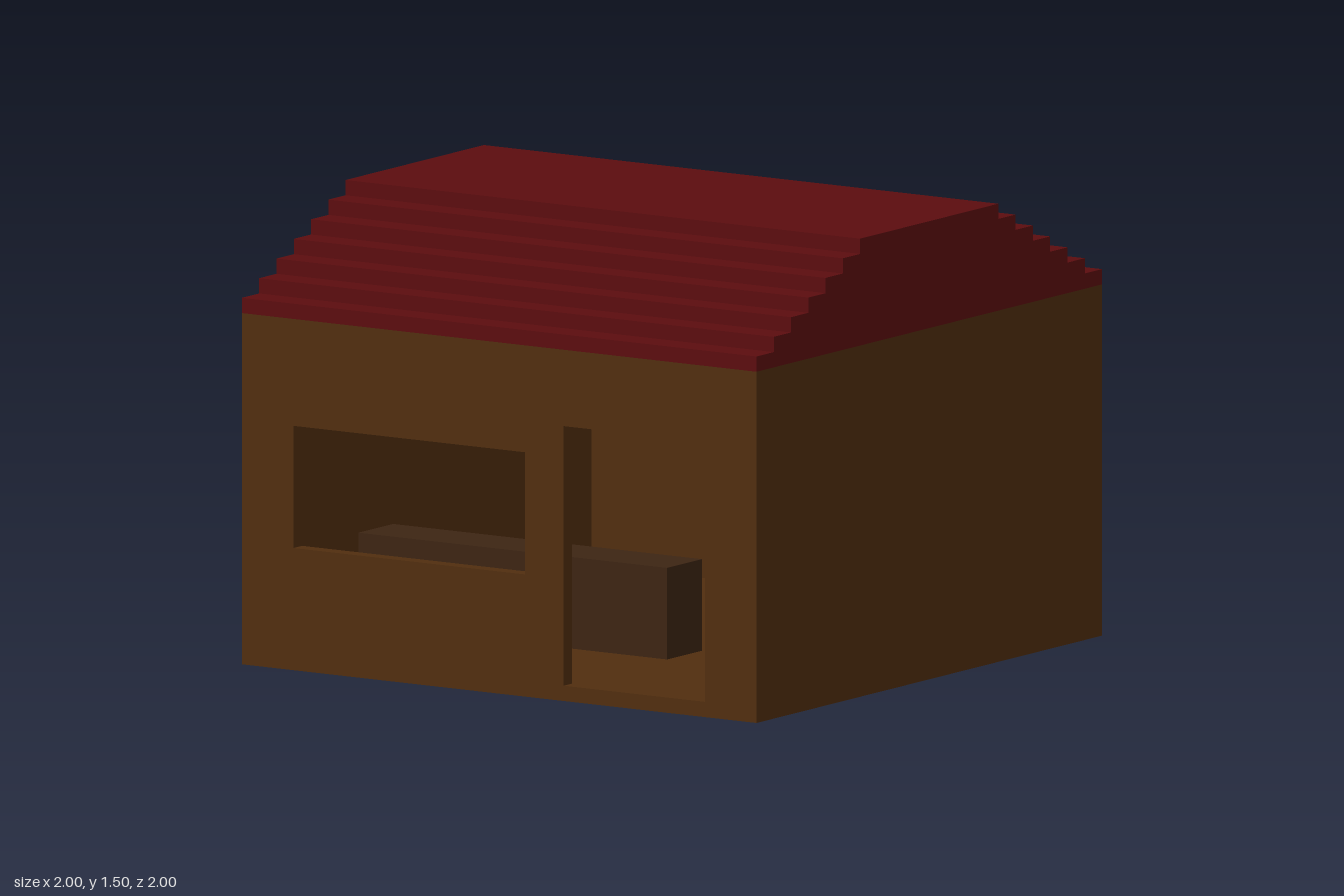
import * as THREE from 'three';

export function createModel() {
  const model = new THREE.Group();
  model.name = 'shopHut';

  const material = (name, color) => {
    const m = new THREE.MeshStandardMaterial({ color });
    m.name = name;
    return m;
  };
  const wood = material('brown wood', 0x512e0f);
  const darkWood = material('dark wood', 0x3d2513);
  const red = material('dark red roof', 0x5c0d0f);

  // Box given by its minimum and maximum corners
  const box = (name, mat, [x0, y0, z0], [x1, y1, z1]) => {
    const mesh = new THREE.Mesh(new THREE.BoxGeometry(x1 - x0, y1 - y0, z1 - z0), mat);
    mesh.position.set((x0 + x1) / 2, (y0 + y1) / 2, (z0 + z1) / 2);
    mesh.name = name;
    model.add(mesh);
  };

  const T = 0.05; // wall, floor and roof-step thickness
  const wallTop = 1.15;

  // Floor, back wall and side walls
  box('floor', wood, [-1, 0, -1], [1, T, 1 - T]);
  box('backWall', wood, [-1, T, -1], [1, wallTop, -1 + T]);
  box('rightWall', wood, [-1, T, -1 + T], [-1 + T, wallTop, 1 - T]);
  box('leftWall', wood, [1 - T, T, -1 + T], [1, wallTop, 1 - T]);

  // Front wall with window and door openings
  const rect = (Type, x0, y0, x1, y1) => new Type([
    new THREE.Vector2(x0, y0), new THREE.Vector2(x1, y0),
    new THREE.Vector2(x1, y1), new THREE.Vector2(x0, y1),
  ]);
  const front = rect(THREE.Shape, -1, 0, 1, wallTop);
  front.holes.push(rect(THREE.Path, -0.8, 0.4, 0.1, 0.8)); // window
  front.holes.push(rect(THREE.Path, 0.25, T, 0.8, 0.9)); // doorway
  const frontWall = new THREE.Mesh(
    new THREE.ExtrudeGeometry(front, { depth: T, bevelEnabled: false }), wood);
  frontWall.position.z = 1 - T;
  frontWall.name = 'frontWall';
  model.add(frontWall);

  // Counter inside, against the right wall
  box('counter', darkWood, [-1 + T, T, 0.2], [0.25, 0.35, 0.4]);

  // Stepped roof, each layer narrower in depth
  for (let i = 0; i < 7; i++) {
    const y = wallTop + i * T;
    const z = 1 - i * 0.1;
    box('roofStep' + (i + 1), red, [-1, y, -z], [1, y + T, z]);
  }

  return model;
}
